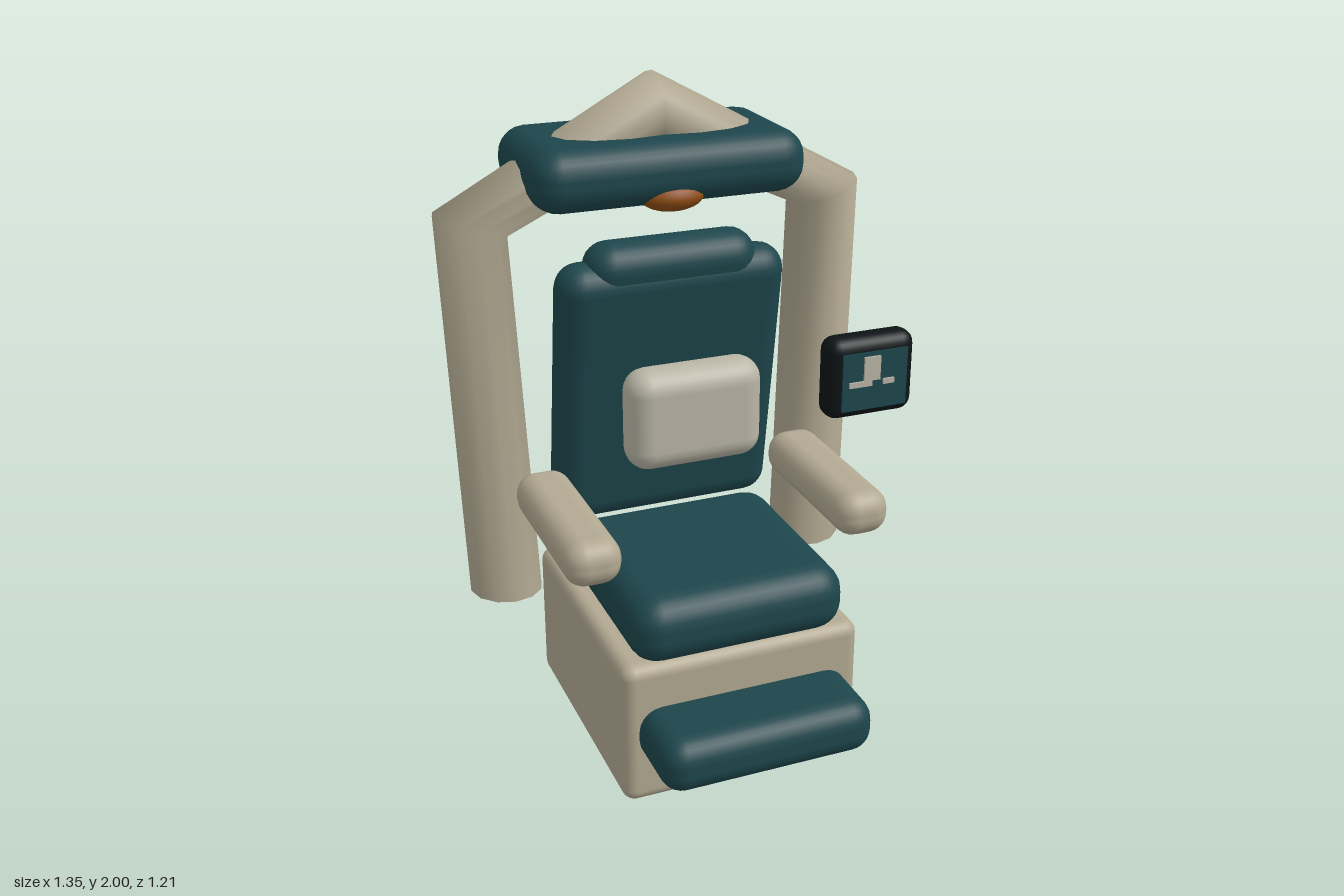
import * as THREE from 'three';
import { RoundedBoxGeometry } from 'three/addons/geometries/RoundedBoxGeometry.js';
import { mergeVertices } from 'three/addons/utils/BufferGeometryUtils.js';

const mat = (color) => new THREE.MeshStandardMaterial({ color });

export function createModel() {
  const model = new THREE.Group();
  const teal = mat(0x1d464c), beige = mat(0xb2a992), pale = mat(0xb9b5a6);
  const black = mat(0x0e1416), amber = mat(0x8f4d14);

  const add = (name, geometry, material) => {
    const mesh = new THREE.Mesh(geometry, material);
    mesh.name = name;
    model.add(mesh);
    return mesh;
  };

  // Rounded block given by its [min, max] on each axis
  const block = (name, [x0, x1], [y0, y1], [z0, z1], radius, material) => {
    const mesh = add(name, new RoundedBoxGeometry(x1 - x0, y1 - y0, z1 - z0, 3, radius), material);
    mesh.position.set((x0 + x1) / 2, (y0 + y1) / 2, (z0 + z1) / 2);
    return mesh;
  };

  // Base, footrest and seat
  block('base', [-0.375, 0.375], [0, 0.46], [-0.455, 0.38], 0.04, beige);
  block('footrest', [-0.33, 0.33], [0.15, 0.32], [0.28, 0.605], 0.07, teal);
  block('seat', [-0.335, 0.335], [0.44, 0.65], [-0.28, 0.39], 0.09, teal);

  // Backrest and headrest, both tipped forward
  const backrest = block('backrest', [-0.36, 0.36], [0.61, 1.49], [-0.35, -0.19], 0.078, teal);
  const headrest = block('headrest', [-0.27, 0.27], [1.335, 1.54], [-0.305, -0.135], 0.08, teal);
  backrest.rotation.x = headrest.rotation.x = 0.16;

  // Cushion in front of the backrest
  block('cushion', [-0.213, 0.213], [0.885, 1.2], [-0.11, 0.037], 0.07, pale);

  // Armrests
  for (const s of [-1, 1]) {
    const arm = block(s > 0 ? 'leftArmrest' : 'rightArmrest',
      [0.335, 0.505], [0.7, 0.84], [-0.26, 0.317], 0.062, beige);
    arm.position.x *= s;
  }

  // Arched frame: five rings [x, y, z, tilt of the ring in the front plane]
  const rings = [
    [0.522, 0.406, -0.33, 0.03],
    [0.565, 1.595, -0.355, 0.32],
    [0, 1.885, -0.352, Math.PI / 2],
    [-0.565, 1.595, -0.355, Math.PI - 0.32],
    [-0.522, 0.406, -0.33, Math.PI - 0.03],
  ];
  const sides = 12, radius = 0.115;
  const tube = new THREE.CylinderGeometry(1, 1, 4, sides, 4, true);
  const pos = tube.attributes.position;
  for (let i = 0; i < pos.count; i++) {
    const [x, y, z, tilt] = rings[Math.round(pos.getY(i) + 2)];
    const out = pos.getX(i) * radius;
    pos.setXYZ(i, x + out * Math.cos(tilt), y + out * Math.sin(tilt), z + pos.getZ(i) * radius);
  }
  tube.deleteAttribute('uv');
  tube.deleteAttribute('normal');
  const frame = mergeVertices(tube, 1e-4);
  frame.computeVertexNormals();
  const frameMaterial = mat(0xb2a992);
  frameMaterial.side = THREE.DoubleSide;
  add('archedFrame', frame, frameMaterial);

  // Closed ends of the frame
  for (const s of [-1, 1]) {
    const end = add('frameEnd', new THREE.CircleGeometry(radius, sides), beige);
    end.rotation.set(Math.PI / 2, s * -0.03, 0);
    end.position.set(s * 0.522, 0.406, -0.33);
  }

  // Canopy with a lamp at its front lower edge
  block('canopy', [-0.425, 0.425], [1.64, 1.83], [-0.605, -0.133], 0.085, teal);
  const lamp = add('lamp', new THREE.SphereGeometry(1, 20, 12), amber);
  lamp.scale.set(0.1, 0.046, 0.07);
  lamp.position.set(0, 1.666, -0.193);

  // Display with a screen panel and raised marks
  block('displayHousing', [0.358, 0.645], [1.02, 1.275], [0.058, 0.157], 0.042, black);
  const plate = (name, x0, x1, y0, y1, z, material) => {
    const mesh = add(name, new THREE.BoxGeometry(x1 - x0, y1 - y0, 0.006), material);
    mesh.position.set((x0 + x1) / 2, (y0 + y1) / 2, z);
  };
  plate('screen', 0.396, 0.608, 1.055, 1.235, 0.165, teal);
  const marks = [
    [0.46, 0.513, 1.15, 1.225],
    [0.413, 0.487, 1.133, 1.15],
    [0.524, 0.56, 1.133, 1.15],
  ];
  for (const m of marks) plate('screenMark', ...m, 0.177, pale);

  return model;
}
